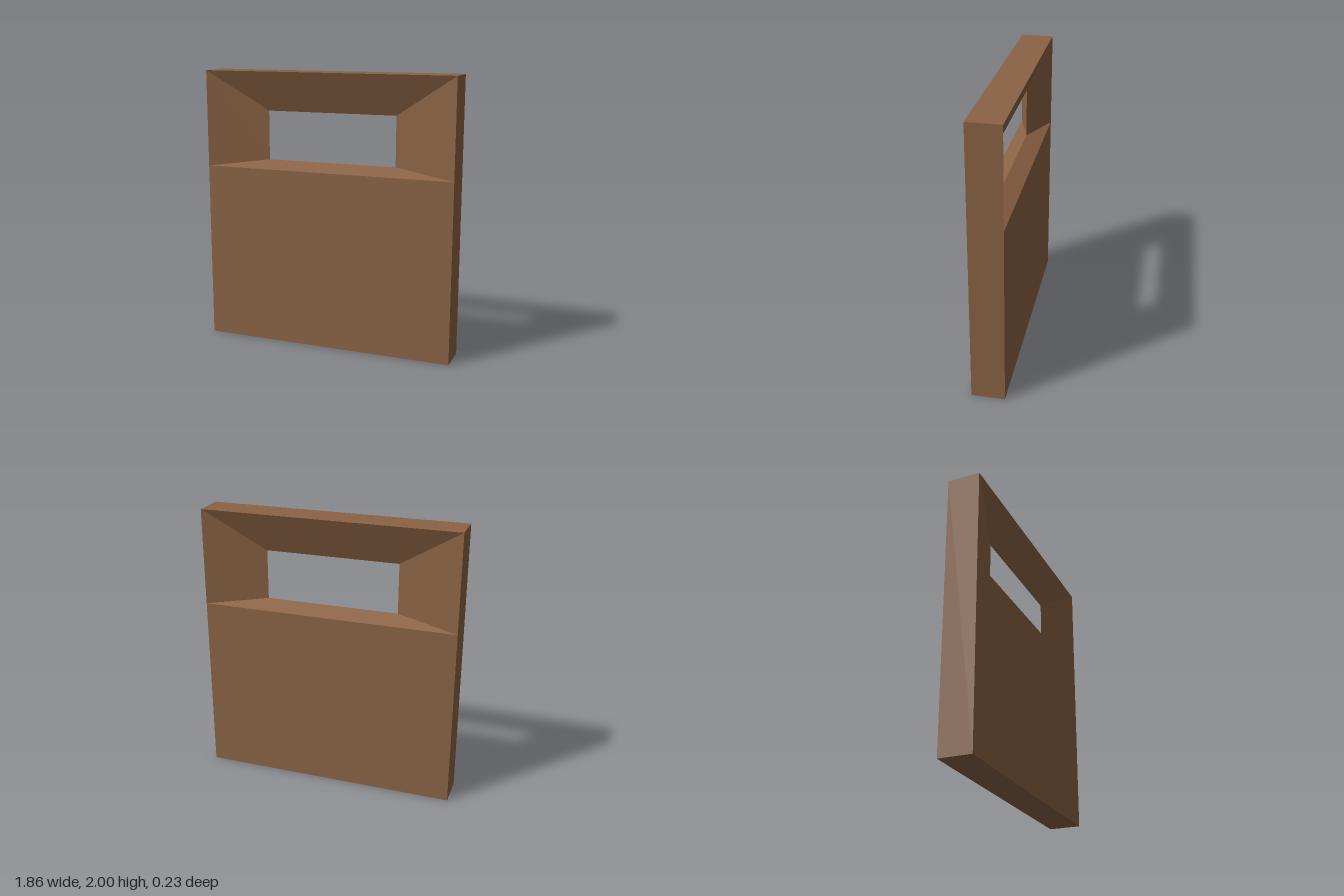
import * as THREE from 'three';

const W = 0.928, H = 2, D = 0.117;   // half width, height, half depth
const SILL = 1.3;                    // height of the outer sill edge

// Rectangle corners, anticlockwise from bottom left
const rect = (w, y0, y1, z) => [[-w, y0, z], [w, y0, z], [w, y1, z], [-w, y1, z]];

// Quads joining two rectangles along the chosen sides (0 bottom, 1 right, 2 top, 3 left)
function strip(a, b, sides = [0, 1, 2, 3]) {
  const out = [];
  for (const i of sides) {
    const j = (i + 1) % 4;
    out.push(...a[i], ...a[j], ...b[j], ...a[i], ...b[j], ...b[i]);
  }
  return out;
}

export function createModel() {
  const group = new THREE.Group();
  group.name = 'wallWithWindow';
  const brown = new THREE.MeshStandardMaterial({ color: 0x8b6345 });
  brown.name = 'brown';

  const add = (name, positions) => {
    const g = new THREE.BufferGeometry();
    g.setAttribute('position', new THREE.Float32BufferAttribute(positions, 3));
    g.computeVertexNormals();
    const mesh = new THREE.Mesh(g, brown);
    mesh.name = name;
    group.add(mesh);
  };

  const frontOuter = rect(W, 0, H, D), backOuter = rect(W, 0, H, -D);
  const frontRim = rect(W, SILL, H, D), backRim = rect(W, SILL, H, -D);
  const slot = rect(0.483, 1.355, 1.713, 0);

  // Flat wall faces below the opening
  add('frontFace', strip(frontOuter, frontRim, [0]));
  add('backFace', strip(backRim, backOuter, [0]));
  // Bottom, sides and top
  add('outerEdges', strip(backOuter, frontOuter));
  // Splayed reveals narrowing to the slot in the middle of the wall
  add('frontReveal', strip(frontRim, slot));
  add('backReveal', strip(slot, backRim));

  return group;
}
